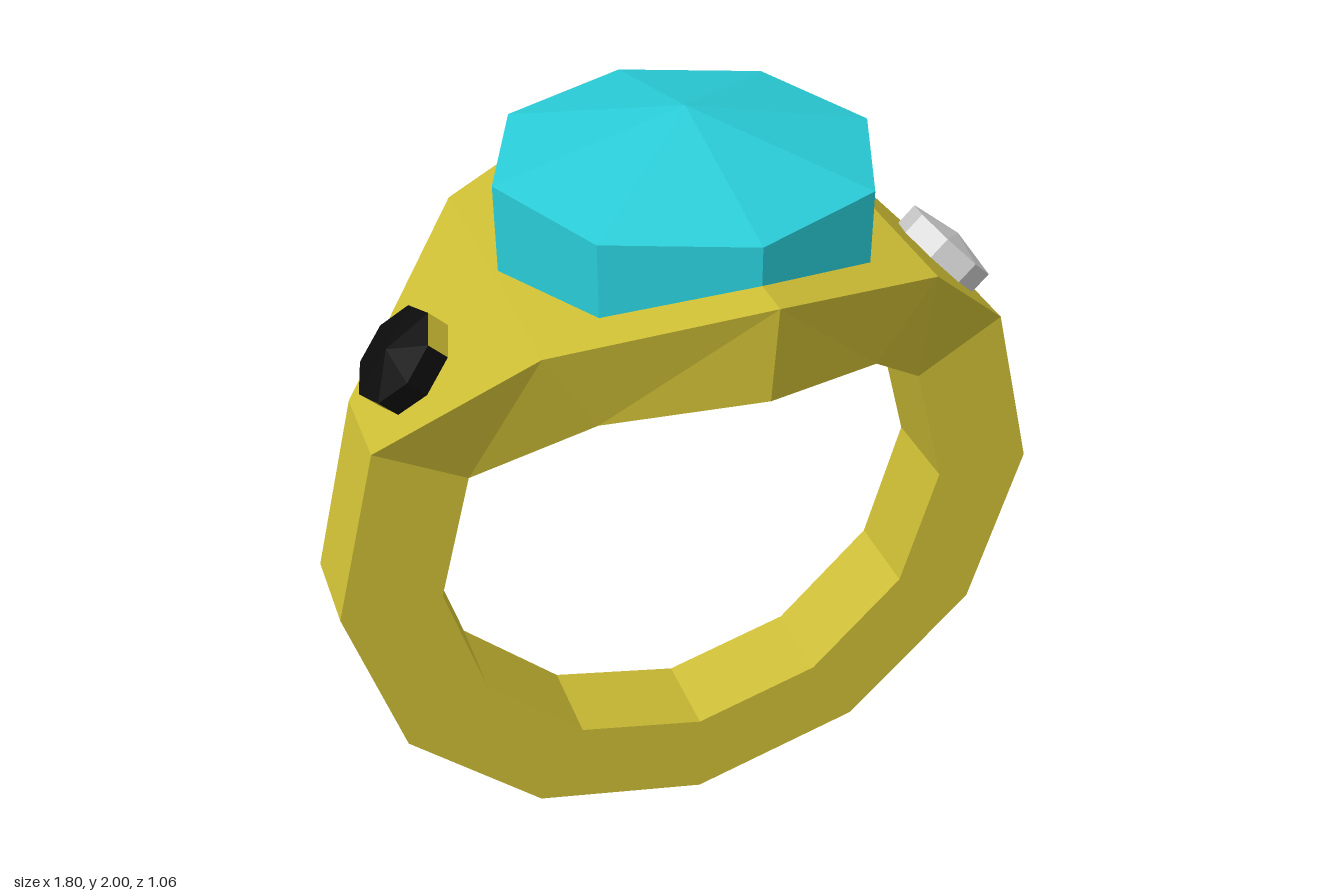
import * as THREE from 'three';

const mat = (color) => new THREE.MeshStandardMaterial({ color, flatShading: true });

function addMesh(parent, name, geometry, material, y = 0) {
  const mesh = new THREE.Mesh(geometry, material);
  mesh.name = name;
  mesh.position.y = y;
  parent.add(mesh);
  return mesh;
}

// Twelve-sided hoop whose cross-section widens towards the top
function bandGeometry() {
  const N = 12, outer = 0.9, inner = 0.655;
  const widths = [[0.53, 0.5], [0.36, 0.338]]; // outer, inner half depth at the top and beside it
  const position = [], index = [];
  for (let i = 0; i < N; i++) {
    const a = Math.PI / 2 + (i / N) * Math.PI * 2;
    const [wo, wi] = widths[Math.min(i, N - i)] ?? [0.11, 0.11];
    for (const [r, z] of [[outer, wo], [inner, wi], [inner, -wi], [outer, -wo]]) {
      position.push(Math.cos(a) * r, 0.9 + Math.sin(a) * r, z);
    }
    for (let j = 0; j < 4; j++) {
      const k = (j + 1) % 4, n = ((i + 1) % N) * 4;
      const p = i * 4 + j, q = n + j, s = n + k, t = i * 4 + k;
      // mirrored diagonals on the two halves
      if (i < N / 2) index.push(p, q, s, p, s, t);
      else index.push(p, q, t, q, s, t);
    }
  }
  const geometry = new THREE.BufferGeometry();
  geometry.setAttribute('position', new THREE.Float32BufferAttribute(position, 3));
  geometry.setIndex(index);
  const flat = geometry.toNonIndexed();
  flat.computeVertexNormals();
  return flat;
}

// Small octagonal stone set on a sloping shoulder
function sideStone(name, side, crownMat, frontMat, wallMat) {
  const group = new THREE.Group();
  group.name = name;
  const r = 0.122, h = 0.09, top = 0.057;
  const q = Math.PI / 4;
  addMesh(group, 'stoneCrown', new THREE.ConeGeometry(r, 0.022, 8, 1, true), crownMat, top + 0.011);
  // front two walls, then the other six
  addMesh(group, 'stoneFrontWall', new THREE.CylinderGeometry(r, r, h, 2, 1, true, -q, 2 * q), frontMat, top - h / 2);
  addMesh(group, 'stoneWall', new THREE.CylinderGeometry(r, r, h, 6, 1, true, q, 6 * q), wallMat, top - h / 2);
  group.position.set(side * 0.645, 1.485, 0);
  group.rotation.z = -side * Math.PI / 4;
  return group;
}

export function createModel() {
  const ring = new THREE.Group();
  ring.name = 'ring';
  const gold = mat(0xcdbd35), teal = mat(0x29ccd7), black = mat(0x0b0b0b), grey = mat(0xcccccc);

  addMesh(ring, 'band', bandGeometry(), gold);

  // Large octagonal gem: straight girdle and low pointed crown
  const gem = new THREE.Group();
  gem.name = 'mainGem';
  addMesh(gem, 'gemGirdle', new THREE.CylinderGeometry(0.437, 0.437, 0.25, 8, 1, true), teal, 1.765);
  addMesh(gem, 'gemCrown', new THREE.ConeGeometry(0.437, 0.11, 8, 1, true), teal, 1.945);
  ring.add(gem);

  ring.add(sideStone('leftStone', 1, grey, grey, grey));
  ring.add(sideStone('rightStone', -1, black, black, gold));
  return ring;
}
